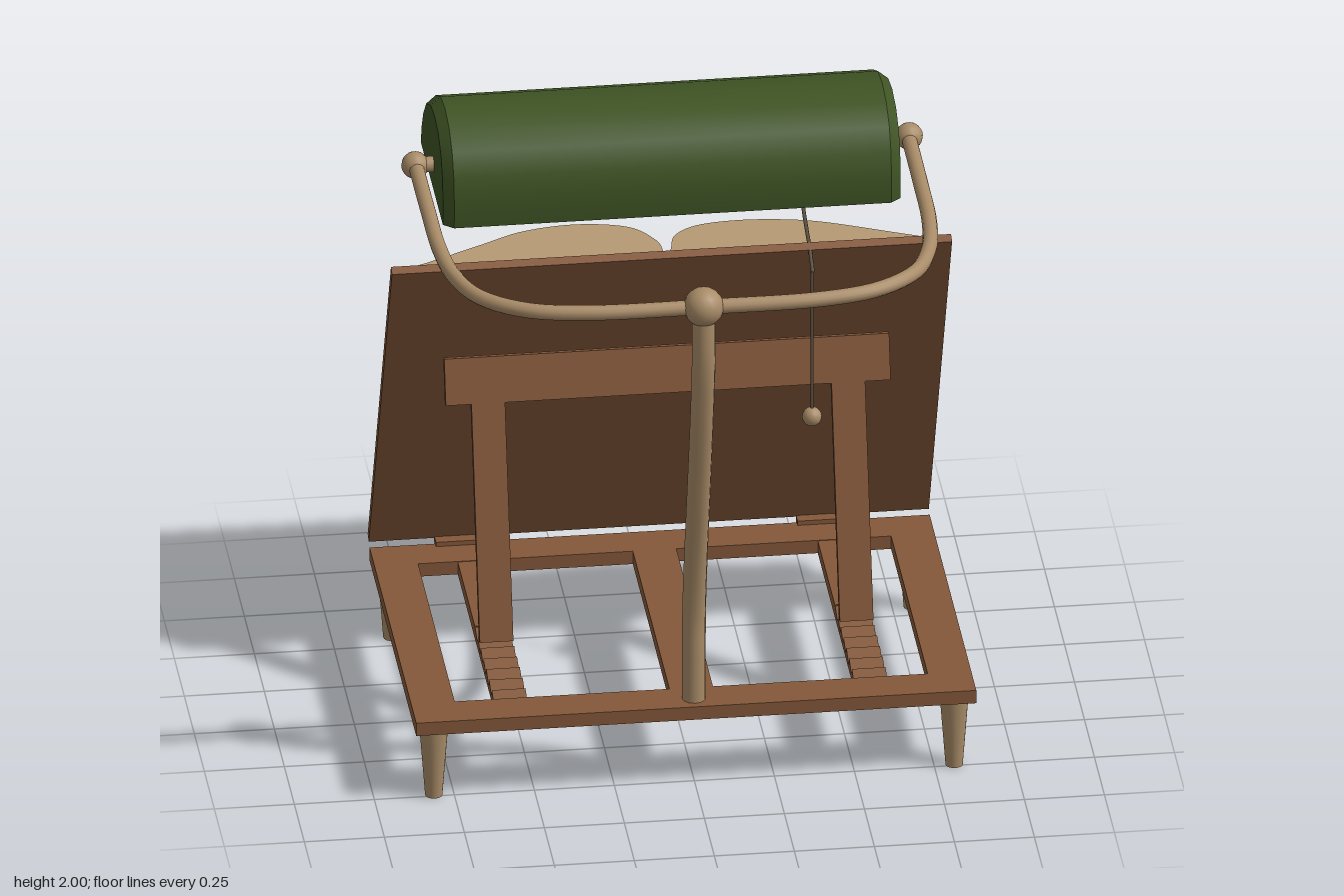
import * as THREE from 'three';
import { toCreasedNormals } from 'three/addons/utils/BufferGeometryUtils.js';

const material = (name, color) => {
  const m = new THREE.MeshStandardMaterial({ color });
  m.name = name;
  return m;
};

export function createModel() {
  const root = new THREE.Group();
  root.name = 'readingStandWithLamp';
  const wood = material('brown wood', 0x84583a);
  const brass = material('tan brass', 0xa98c68);
  const page = material('page cream', 0xb0946c);
  const green = material('shade green', 0x3f5424);
  const cover = material('dark cover', 0x3d2c2b);
  const black = material('socket black', 0x1c1c1c);
  const white = material('bulb white', 0xe6e6e6);
  const chainGrey = material('chain grey', 0x5c5240);

  const add = (name, geo, mat, parent = root, x = 0, y = 0, z = 0) => {
    const m = new THREE.Mesh(geo, mat);
    m.name = name;
    m.position.set(x, y, z);
    parent.add(m);
    return m;
  };
  // Box given by its limits on each axis
  const box = (name, mat, [x0, x1], [y0, y1], [z0, z1], parent = root) =>
    add(name, new THREE.BoxGeometry(x1 - x0, y1 - y0, z1 - z0), mat, parent,
      (x0 + x1) / 2, (y0 + y1) / 2, (z0 + z1) / 2);
  const group = (name, y, z, tilt) => {
    const g = new THREE.Group();
    g.name = name;
    g.position.set(0, y, z);
    g.rotation.x = tilt;
    root.add(g);
    return g;
  };
  const tube = (name, pts, r, mat, seg = 48, sides = 12) =>
    add(name, new THREE.TubeGeometry(
      new THREE.CatmullRomCurve3(pts.map(p => new THREE.Vector3(...p))), seg, r, sides), mat);
  const rodX = (r0, r1, len, sides = 20) =>
    new THREE.CylinderGeometry(r0, r1, len, sides).rotateZ(-Math.PI / 2);

  // Base frame
  const baseY = [0.24, 0.285];
  box('frontRail', wood, [-0.875, 0.875], baseY, [0.42, 0.548]);
  box('backRail', wood, [-0.875, 0.875], baseY, [-0.62, -0.495]);
  box('centreRail', wood, [-0.068, 0.068], baseY, [-0.495, 0.42]);

  // Notched bar profile (z, y), extruded along x
  const notched = new THREE.Shape();
  notched.moveTo(-0.495, 0.24);
  notched.lineTo(0.42, 0.24);
  notched.lineTo(0.42, 0.258);
  for (let i = 0; i < 7; i++) {
    const z = 0.42 - i * 0.07;
    notched.lineTo(z - 0.063, 0.283);
    notched.lineTo(z - 0.07, 0.258);
  }
  notched.lineTo(-0.07, 0.283);
  notched.lineTo(-0.495, 0.283);
  const notchedGeo = new THREE.ExtrudeGeometry(notched, { depth: 0.105, bevelEnabled: false })
    .rotateY(-Math.PI / 2);

  // Tilted prop that carries the board
  const prop = group('prop', 0.287, 0.045, -0.28);
  box('propCrossbar', wood, [-0.695, 0.695], [0.757, 0.905], [-0.013, 0.013], prop);

  for (const s of [-1, 1]) {
    box('sideRail', wood, [s * 0.807 - 0.068, s * 0.807 + 0.068], baseY, [-0.495, 0.42]);
    add('notchedBar', notchedGeo, wood, root, s * 0.5625 + 0.0525).rotation.y = 0;
    box('propLeg', wood, [s * 0.5625 - 0.0525, s * 0.5625 + 0.0525], [0, 0.757], [-0.013, 0.013], prop);
    box('hinge', wood, [s * 0.565 - 0.105, s * 0.565 + 0.105], [0.278, 0.3], [-0.645, -0.6]);
    for (const z of [0.49, -0.557])
      add('foot', new THREE.CylinderGeometry(0.045, 0.027, 0.24, 16), brass, root, s * 0.813, 0.12, z);
  }

  // Board, ledge and open book share one tilted group
  const desk = group('bookRest', 0.295, -0.64, 0.437);
  box('board', wood, [-0.875, 0.875], [0, 1.375], [-0.03, 0], desk);
  const ledge = new THREE.Shape();
  ledge.moveTo(-0.79, 0.03);
  ledge.lineTo(0.79, 0.03);
  ledge.lineTo(0.79, 0.08);
  ledge.quadraticCurveTo(0.79, 0.132, 0.73, 0.132);
  ledge.lineTo(-0.73, 0.132);
  ledge.quadraticCurveTo(-0.79, 0.132, -0.79, 0.08);
  // Shape x stays x, shape y points out of the board, depth runs up it
  const upBoard = (shape, depth) => toCreasedNormals(
    new THREE.ExtrudeGeometry(shape, { depth, bevelEnabled: false, curveSegments: 10 })
      .rotateX(-Math.PI / 2), 0.6);
  add('ledge', upBoard(ledge, 0.035), wood, desk, 0, 0.02);
  box('bookCover', cover, [-0.862, 0.862], [0.057, 1.315], [-0.058, -0.03], desk);

  const pageHalves = {
    rightPages: [[-0.012, 0.09], [-0.03, 0.135], [-0.11, 0.192], [-0.27, 0.214], [-0.44, 0.199],
      [-0.58, 0.155], [-0.75, 0.1], [-0.825, 0.082]],
    leftPages: [[0.012, 0.1], [0.03, 0.15], [0.1, 0.183], [0.22, 0.194], [0.36, 0.188],
      [0.5, 0.167], [0.73, 0.107], [0.825, 0.082]],
  };
  for (const [name, pts] of Object.entries(pageHalves)) {
    const shape = new THREE.Shape();
    shape.moveTo(0, 0.056);
    shape.lineTo(0, 0.068);
    shape.splineThru(pts.map(p => new THREE.Vector2(...p)));
    shape.lineTo(pts.at(-1)[0], 0.056);
    shape.closePath();
    add(name, upBoard(shape, 1.215), page, desk, 0, 0.077);
  }

  // Lamp post and yoke
  tube('lampPost', [[0, 0.28, 0.488], [0, 0.45, 0.488], [0, 0.58, 0.492], [0, 0.78, 0.53],
    [0, 1.1, 0.617], [0, 1.42, 0.7], [0, 1.6, 0.733], [0, 1.79, 0.735]], 0.037, brass);
  add('postBall', new THREE.SphereGeometry(0.063, 16, 12), brass, root, 0, 1.787, 0.73);
  const half = [[0.77, -0.31], [0.769, 0], [0.765, 0.25], [0.742, 0.43], [0.68, 0.58], [0.55, 0.68], [0.37, 0.722]];
  const yoke = [...half.map(([x, z]) => [-x, 1.785, z]), [0, 1.785, 0.728],
    ...half.map(([x, z]) => [x, 1.785, z]).reverse()];
  tube('yoke', yoke, 0.024, brass, 90);
  for (const s of [-1, 1]) {
    add('yokeBall', new THREE.SphereGeometry(0.043, 14, 10), brass, root, s * 0.772, 1.787, -0.308);
    add('pivotPin', rodX(0.025, 0.025, 0.09), brass, root, s * 0.728, 1.787, -0.308);
    add('pivotWasher', rodX(0.038, 0.038, 0.02), cover, root, s * 0.69, 1.787, -0.308);
  }

  // Shade: arched section (z, y) lofted along x with chamfered, closed ends
  const arch = [[-0.04, 1.7], [-0.035, 1.78], [-0.05, 1.87], [-0.09, 1.94], [-0.165, 1.985], [-0.27, 2],
    [-0.38, 1.983], [-0.5, 1.925], [-0.58, 1.845], [-0.625, 1.77], [-0.645, 1.7]];
  const cz = -0.34, cy = 1.7;
  const loftArch = (inset, inward) => {
    const k = 1 - inset / 0.3, X = 0.715 - inset, pos = [], idx = [], n = arch.length;
    const stations = [[-X, 0], [-X, 0.91], [-X + 0.032, 1], [X - 0.032, 1], [X, 0.91], [X, 0]];
    for (const [x, f] of stations)
      for (const [z, y] of arch) pos.push(x, cy + (y - cy) * k * f, cz + (z - cz) * k * f);
    for (let s = 0; s < stations.length - 1; s++)
      for (let i = 0; i < n - 1; i++) {
        const a = s * n + i, b = a + n, c = a + 1, d = b + 1;
        if (s > 0) idx.push(...(inward ? [a, c, b] : [a, b, c]));
        if (s < stations.length - 2) idx.push(...(inward ? [b, c, d] : [b, d, c]));
      }
    const g = new THREE.BufferGeometry();
    g.setAttribute('position', new THREE.Float32BufferAttribute(pos, 3));
    g.setIndex(idx);
    return toCreasedNormals(g, 0.55);
  };
  add('shade', loftArch(0, false), green);
  add('shadeLining', loftArch(0.014, true), page);
  const rimOutline = inset => {
    const k = 1 - inset / 0.3, X = 0.715 - inset, f = (0.305 - 0.005) * k, b = 0.305 * k;
    return [[-X, -f * 0.91], [-X + 0.032, -f], [X - 0.032, -f], [X, -f * 0.91],
      [X, b * 0.91], [X - 0.032, b], [-X + 0.032, b], [-X, b * 0.91]].map(p => new THREE.Vector2(...p));
  };
  const rim = new THREE.Shape(rimOutline(0));
  rim.holes.push(new THREE.Path(rimOutline(0.014)));
  add('shadeRim', new THREE.ShapeGeometry(rim).rotateX(-Math.PI / 2).translate(0, cy, cz),
    new THREE.MeshStandardMaterial().copy(green)).material.side = THREE.DoubleSide;

  // Socket and bulb
  add('socket', rodX(0.088, 0.088, 0.26), black, root, 0.45, 1.785, -0.308);
  add('socketCollar', rodX(0.098, 0.098, 0.2), black, root, 0.25, 1.785, -0.308);
  add('socketNeck', rodX(0.05, 0.05, 0.13), black, root, 0.635, 1.785, -0.308);
  add('bulb', new THREE.CapsuleGeometry(0.098, 0.22, 8, 20).rotateZ(Math.PI / 2), white, root, -0.035, 1.78, -0.308);

  // Pull chain
  add('chainOutlet', new THREE.CylinderGeometry(0.036, 0.02, 0.04, 14), white, root, 0.432, 1.69, -0.305);
  tube('chainCurve', [[0.432, 1.68, -0.302], [0.432, 1.645, -0.29], [0.432, 1.6, -0.24], [0.432, 1.565, -0.15],
    [0.432, 1.54, -0.07], [0.432, 1.51, -0.02], [0.432, 1.495, 0.008]], 0.006, chainGrey, 30, 6);
  add('chainDrop', new THREE.CylinderGeometry(0.005, 0.005, 0.52, 6), chainGrey, root, 0.432, 1.25, -0.018);
  add('chainBall', new THREE.SphereGeometry(0.031, 14, 10), brass, root, 0.432, 0.978, -0.018);

  return root;
}
